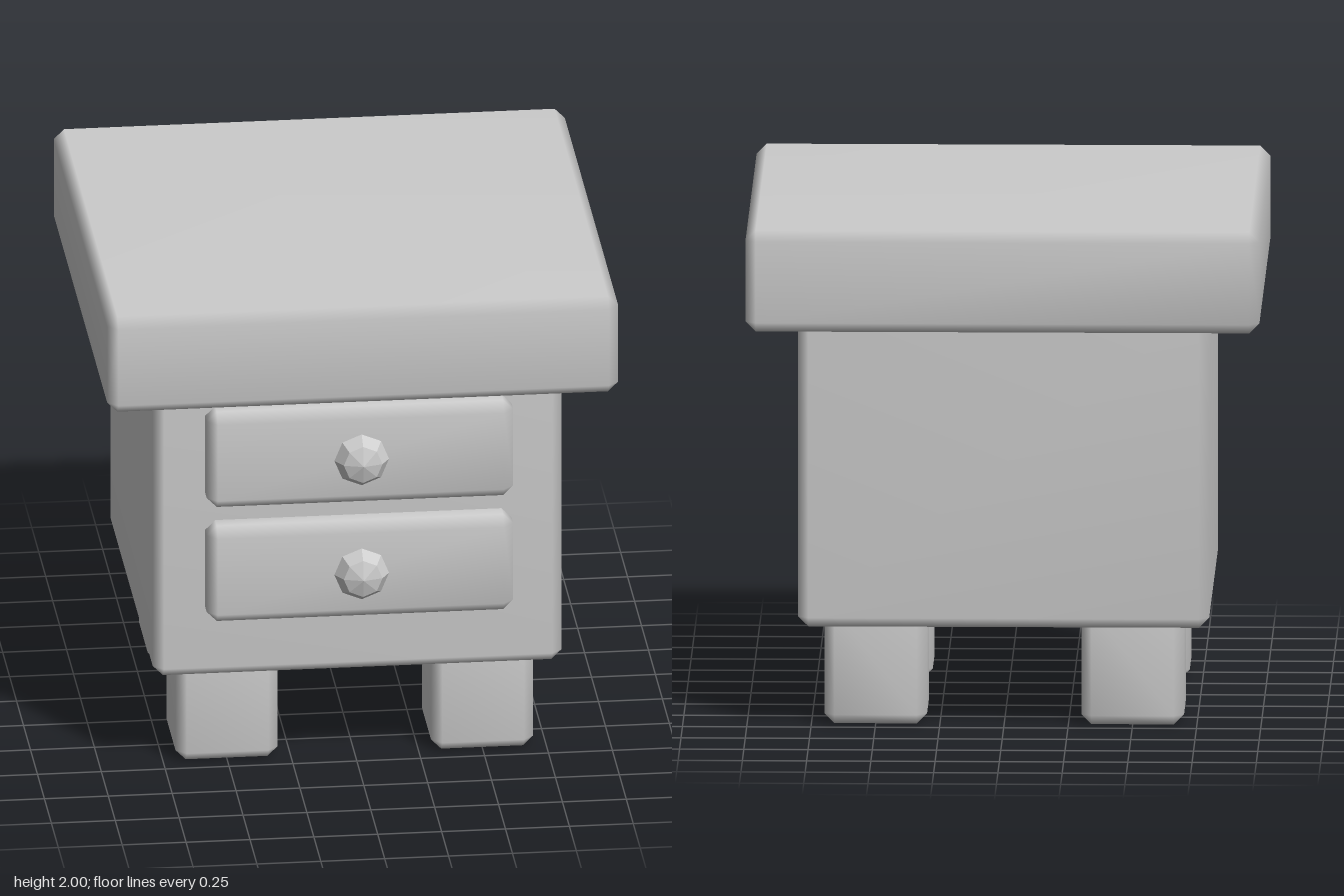
import * as THREE from 'three';
import { mergeVertices } from 'three/addons/utils/BufferGeometryUtils.js';
import { ConvexGeometry } from 'three/addons/geometries/ConvexGeometry.js';

const CHAMFER = 0.04;

// Box with flat bevels on every edge and softly blended normals.
function chamferBox(w, h, d, c = CHAMFER) {
  const points = [];
  for (const sx of [-1, 1]) for (const sy of [-1, 1]) for (const sz of [-1, 1]) {
    for (let axis = 0; axis < 3; axis++) {
      // each corner becomes three points, one per adjoining face
      const inset = [c, c, c];
      inset[axis] = 0;
      points.push(new THREE.Vector3(
        sx * (w / 2 - inset[0]), sy * (h / 2 - inset[1]), sz * (d / 2 - inset[2])));
    }
  }
  const hull = new ConvexGeometry(points);
  hull.deleteAttribute('normal');
  const geometry = mergeVertices(hull, 1e-4);
  geometry.computeVertexNormals();
  return geometry;
}

export function createModel() {
  const group = new THREE.Group();
  group.name = 'nightstand';
  const smooth = new THREE.MeshStandardMaterial({ color: 0xcccccc });
  const faceted = new THREE.MeshStandardMaterial({ color: 0xcccccc, flatShading: true });

  const add = (name, geometry, x, y, z, material = smooth) => {
    const mesh = new THREE.Mesh(geometry, material);
    mesh.name = name;
    mesh.position.set(x, y, z);
    group.add(mesh);
    return mesh;
  };

  // Overhanging top and cabinet; the cabinet runs up into the top
  add('tabletop', chamferBox(2, 0.4, 2), 0, 1.8, 0);
  add('cabinet', chamferBox(1.6, 1.3, 1.6), 0, 1.05, 0);

  // Four stubby legs, sunk a little into the cabinet
  const leg = chamferBox(0.4, 0.5, 0.4);
  for (const [side, x] of [['Left', 0.5], ['Right', -0.5]]) {
    for (const [end, z] of [['front', 0.5], ['back', -0.5]]) {
      add(`${end}${side}Leg`, leg, x, 0.25, z);
    }
  }

  // Two drawers with faceted, flattened knobs
  const drawer = chamferBox(1.2, 0.4, 0.2);
  const knob = new THREE.SphereGeometry(0.107, 8, 4).rotateX(Math.PI / 2).scale(1, 1, 0.7);
  for (const [level, y] of [['upper', 1.34], ['lower', 0.86]]) {
    add(`${level}Drawer`, drawer, 0, y, 0.8);
    add(`${level}Knob`, knob, 0, y, 0.925, faceted);
  }
  return group;
}
